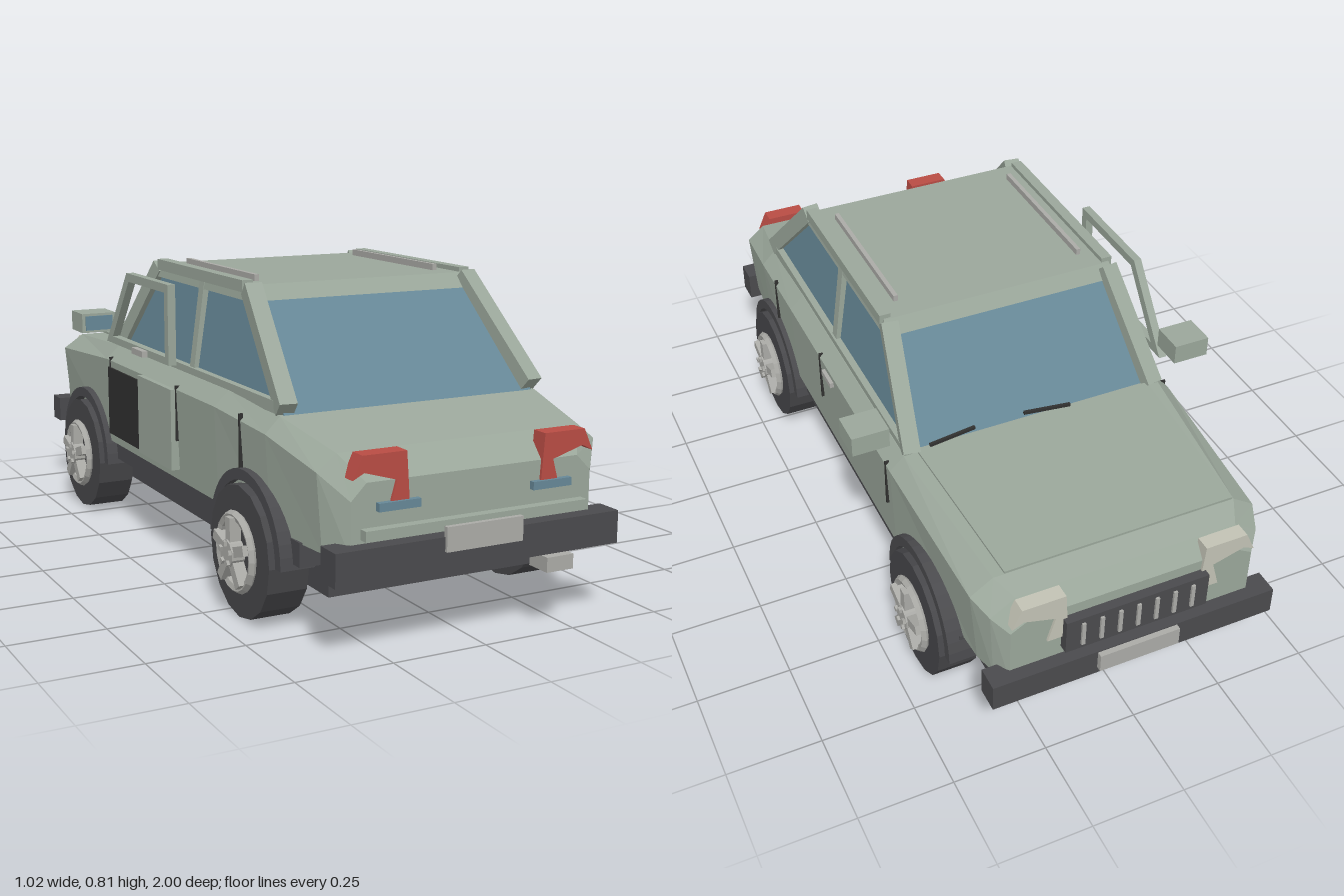
import * as THREE from 'three';

const mat = (color, side = THREE.FrontSide) => new THREE.MeshStandardMaterial({ color, flatShading: true, side });
const PAINT = mat(0x9aa69a), GLASS = mat(0x668796), DARK = mat(0x4a4a4d), RUBBER = mat(0x47474a);
const RED = mat(0xb84c44), METAL = mat(0xaaaaa6), LAMP = mat(0xc2c2b4), TRIM = mat(0x30302f);

export function createModel() {
  const car = new THREE.Group();
  car.name = 'car';

  const add = (name, geo, material, parent = car) => {
    const m = new THREE.Mesh(geo, material);
    m.name = name;
    parent.add(m);
    return m;
  };
  // Box given by its min and max on each axis
  const box = (name, material, x0, x1, y0, y1, z0, z1, parent) => {
    const m = add(name, new THREE.BoxGeometry(x1 - x0, y1 - y0, z1 - z0), material, parent);
    m.position.set((x0 + x1) / 2, (y0 + y1) / 2, (z0 + z1) / 2);
    return m;
  };
  // Square bar between two points
  const beam = (name, material, a, b, w, h) => {
    const p = new THREE.Vector3(...a), q = new THREE.Vector3(...b);
    const m = add(name, new THREE.BoxGeometry(w, h, p.distanceTo(q)), material);
    m.position.copy(p).add(q).multiplyScalar(0.5);
    m.lookAt(q);
    return m;
  };
  // Box whose bottom and top are rectangles [halfX, y, zBack, zFront]
  const taper = (name, material, bottom, top) => {
    const g = new THREE.BoxGeometry(1, 1, 1), p = g.attributes.position;
    for (let i = 0; i < p.count; i++) {
      const [hx, y, z0, z1] = p.getY(i) < 0 ? bottom : top;
      p.setXYZ(i, Math.sign(p.getX(i)) * hx, y, p.getZ(i) < 0 ? z0 : z1);
    }
    g.computeVertexNormals();
    return add(name, g, material);
  };
  const outline = pts => new THREE.Shape(pts.map(p => new THREE.Vector2(...p)));
  const extrude = (shape, depth) => new THREE.ExtrudeGeometry(shape, { depth, bevelEnabled: false, curveSegments: 10 });
  // Extrude a (z, y) shape from x = 0 towards -x
  const sideways = (shape, depth) => extrude(shape, depth).rotateY(-Math.PI / 2);

  // Lower body: z, then x and y of sill, crease and shoulder
  const sections = [
    [0.94, 0.33, 0.24, 0.33, 0.37, 0.29, 0.41],
    [0.88, 0.37, 0.24, 0.385, 0.43, 0.335, 0.47],
    [0.66, 0.39, 0.24, 0.405, 0.475, 0.365, 0.515],
    [0.38, 0.4, 0.24, 0.41, 0.49, 0.37, 0.528],
    [-0.4, 0.4, 0.24, 0.41, 0.49, 0.37, 0.528],
    [-0.85, 0.37, 0.24, 0.39, 0.455, 0.33, 0.495],
    [-0.91, 0.355, 0.24, 0.365, 0.43, 0.3, 0.472],
    [-0.95, 0.33, 0.24, 0.33, 0.4, 0.28, 0.43],
  ];
  const pos = [], idx = [];
  sections.forEach(([z, xb, yb, xc, yc, xt, yt]) => {
    for (const [x, y] of [[xb, yb], [xc, yc], [xt, yt], [-xt, yt], [-xc, yc], [-xb, yb]]) pos.push(x, y, z);
  });
  const last = (sections.length - 1) * 6;
  for (let i = 0; i < last; i += 6) for (let k = 0; k < 6; k++) {
    const a = i + k, b = i + (k + 1) % 6;
    idx.push(a, a + 6, b, b, a + 6, b + 6);
  }
  for (let k = 1; k < 5; k++) idx.push(0, k, k + 1, last, last + k + 1, last + k);
  const body = new THREE.BufferGeometry();
  body.setAttribute('position', new THREE.Float32BufferAttribute(pos, 3));
  body.setIndex(idx);
  body.computeVertexNormals();
  add('body', body, PAINT);

  // Underside and sills
  box('chassis', DARK, -0.32, 0.32, 0.11, 0.185, -0.83, 0.82);
  box('sill', DARK, -0.385, 0.385, 0.185, 0.245, -0.78, 0.8);

  // Cabin glass, roof and raised bonnet plate
  taper('cabinGlass', GLASS, [0.355, 0.51, -0.4, 0.665], [0.315, 0.77, -0.185, 0.41]);
  taper('roof', PAINT, [0.332, 0.755, -0.2, 0.425], [0.325, 0.793, -0.175, 0.395]);
  const bonnet = taper('bonnet', PAINT, [0.31, 0.519, -0.87, -0.86], [0.31, 0.525, -0.87, -0.86]);
  const bp = bonnet.geometry.attributes.position;
  for (let i = 0; i < bp.count; i++) if (bp.getZ(i) > -0.865) {
    bp.setXYZ(i, Math.sign(bp.getX(i)) * 0.335, bp.getY(i) + 0.014, -0.4);
  }
  bonnet.geometry.computeVertexNormals();

  const arch = new THREE.Shape().absarc(0, 0, 0.2, 0, Math.PI, false);
  arch.absarc(0, 0, 0.172, Math.PI, 0, true);
  const lampShape = s => outline([[0.33, 0.42], [0.305, 0.475], [0.19, 0.475], [0.18, 0.34],
    [0.235, 0.34], [0.215, 0.41], [0.3, 0.435]].map(([x, y]) => [x * s, y]));

  for (const s of [1, -1]) {
    const mirrored = (name, material, x0, x1, ...yz) =>
      box(name, material, Math.min(s * x0, s * x1), Math.max(s * x0, s * x1), ...yz);

    // Pillars and window frames
    beam('rearPillar', PAINT, [s * 0.35, 0.53, 0.665], [s * 0.314, 0.785, 0.4], 0.045, 0.045);
    beam('frontPillar', PAINT, [s * 0.35, 0.53, -0.4], [s * 0.314, 0.785, -0.18], 0.045, 0.04);
    beam('middlePillar', PAINT, [s * 0.353, 0.52, 0.13], [s * 0.317, 0.78, 0.13], 0.03, 0.025);
    beam('windowSill', PAINT, [s * 0.357, 0.532, -0.4], [s * 0.357, 0.532, 0.64], 0.022, 0.03);
    mirrored('roofGutter', PAINT, 0.305, 0.335, 0.775, 0.805, -0.17, 0.39);
    mirrored('roofRail', METAL, 0.26, 0.272, 0.79, 0.81, -0.11, 0.33);

    // Door seams, handles and mirrors
    mirrored('doorSeam', TRIM, 0.4, 0.412, 0.35, 0.5, 0.127, 0.133);
    mirrored('doorSeam', TRIM, 0.4, 0.412, 0.36, 0.5, -0.373, -0.367);
    mirrored('rearDoorSeam', TRIM, 0.4, 0.41, 0.36, 0.5, 0.523, 0.528);
    mirrored('doorHandle', METAL, 0.4, 0.42, 0.46, 0.475, 0.02, 0.09);
    mirrored('mirror', PAINT, 0.41, 0.51, 0.585, 0.64, -0.41, -0.32);
    mirrored('mirrorGlass', GLASS, 0.42, 0.5, 0.592, 0.633, -0.32, -0.316);

    // Lamps
    add('tailLamp', extrude(lampShape(s), 0.045), RED).position.z = 0.902;
    add('headLamp', extrude(lampShape(s), 0.04), LAMP).position.z = -0.957;
    mirrored('reversingLamp', GLASS, 0.155, 0.265, 0.342, 0.362, 0.93, 0.955);
    beam('wiper', TRIM, [s * 0.07 + 0.1, 0.552, -0.395], [s * 0.2 + 0.1, 0.545, -0.405], 0.008, 0.008);

    // Wheel arches and wheels
    for (const z of [0.567, -0.59]) {
      add('wheelArch', sideways(arch, 0.09), DARK).position.set(s > 0 ? 0.418 : -0.328, 0.17, z);
      const wheel = new THREE.Group();
      wheel.name = 'wheel';
      wheel.position.set(s * 0.378, 0.167, z);
      wheel.rotation.y = s * Math.PI / 2;
      car.add(wheel);
      add('tyre', new THREE.CylinderGeometry(0.167, 0.167, 0.106, 16).rotateX(Math.PI / 2), RUBBER, wheel);
      add('rim', new THREE.TorusGeometry(0.092, 0.012, 5, 20), METAL, wheel).position.z = 0.06;
      add('hub', new THREE.CylinderGeometry(0.035, 0.035, 0.035, 10).rotateX(Math.PI / 2), METAL, wheel).position.z = 0.07;
      for (let k = 0; k < 5; k++) {
        const arm = new THREE.Group();
        arm.rotation.z = k * Math.PI * 0.4;
        wheel.add(arm);
        box('spoke', METAL, -0.013, 0.013, 0.025, 0.09, 0.05, 0.083, arm);
        box('wheelNut', METAL, -0.006, 0.006, 0.02, 0.032, 0.085, 0.095, arm);
      }
    }
  }

  // Offset front door on one side with its dark opening and upright frame
  box('doorOpening', TRIM, -0.414, -0.39, 0.27, 0.47, -0.38, -0.11);
  box('doorPanel', PAINT, -0.425, -0.395, 0.27, 0.49, -0.11, 0.13);
  const frame = outline([[-0.34, 0.555], [-0.17, 0.77], [0.13, 0.77], [0.13, 0.555]]);
  frame.holes.push(new THREE.Path([[-0.29, 0.575], [0.105, 0.575], [0.105, 0.747], [-0.155, 0.747]]
    .map(p => new THREE.Vector2(...p))));
  add('doorFrame', sideways(frame, 0.022), PAINT).position.x = -0.407;
  box('doorFrameHandle', METAL, -0.445, -0.425, 0.555, 0.572, -0.1, -0.02);

  // Rear end
  box('rearBumper', DARK, -0.39, 0.39, 0.188, 0.27, 0.91, 0.98);
  box('rearPlate', METAL, -0.105, 0.105, 0.235, 0.295, 0.975, 0.988);
  box('bootTrim', PAINT, -0.305, 0.305, 0.28, 0.305, 0.93, 0.965);
  box('exhaust', METAL, 0.168, 0.244, 0.15, 0.187, 0.93, 1);

  // Nose: bumper, plate and slotted grille
  box('frontBumper', DARK, -0.39, 0.39, 0.2, 0.275, -0.985, -0.92);
  box('frontPlate', METAL, -0.11, 0.11, 0.22, 0.272, -1, -0.98);
  box('grille', DARK, -0.195, 0.195, 0.3, 0.4, -0.975, -0.94);
  for (let i = -3; i <= 3; i++) {
    box('grilleBar', METAL, i * 0.05 - 0.005, i * 0.05 + 0.005, 0.315, 0.385, -0.981, -0.97);
  }
  return car;
}
